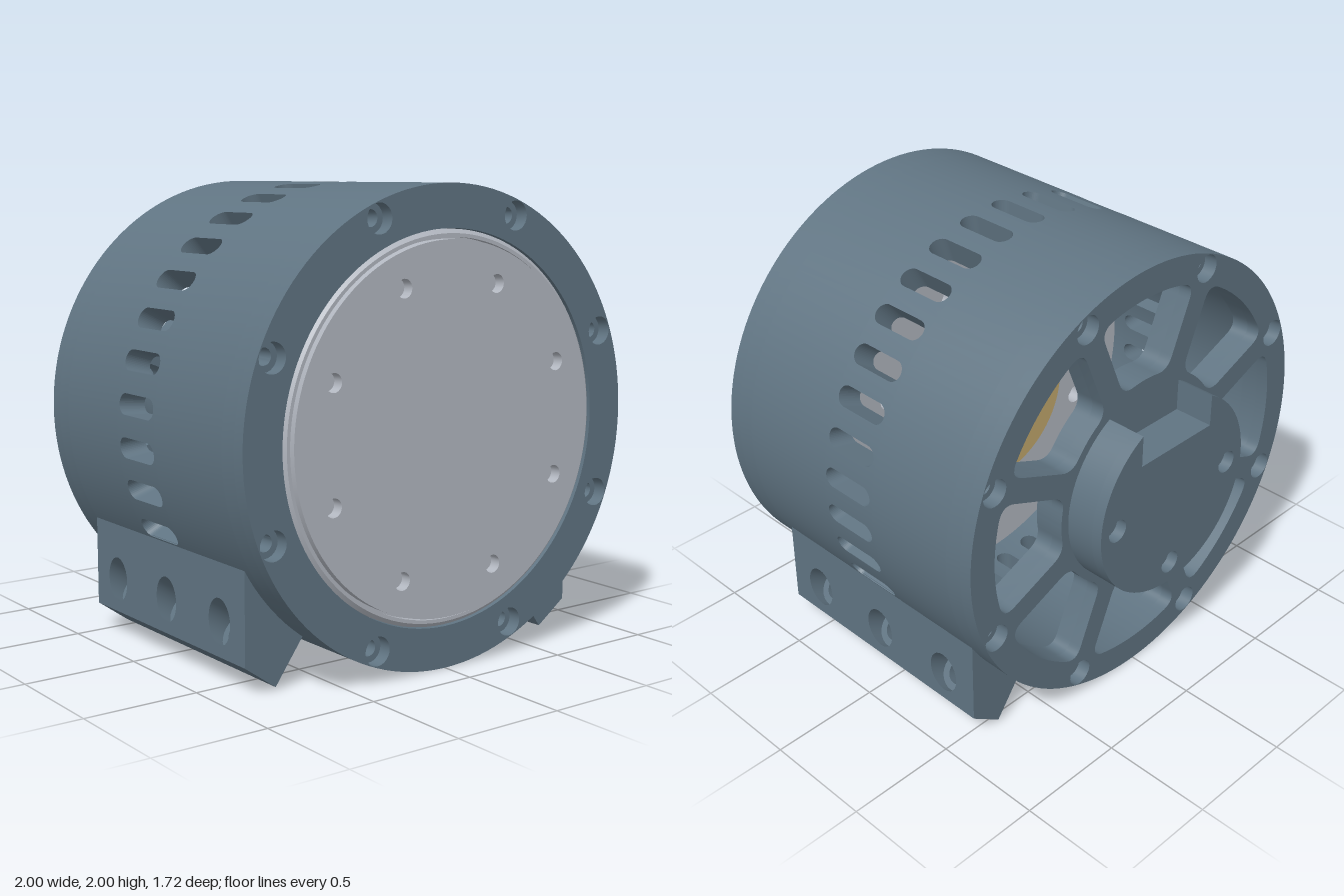
import * as THREE from 'three';
import { toCreasedNormals, mergeGeometries } from 'three/addons/utils/BufferGeometryUtils.js';

const SLOTS = 34, SEG = SLOTS * 4;
const BOLT_R = 0.935, CAP_BOLT_R = 0.638;

const steel = new THREE.MeshStandardMaterial({ color: 0x607482 });
steel.name = 'blue grey housing';
const silver = new THREE.MeshStandardMaterial({ color: 0xb2b7c0 });
silver.name = 'light grey metal';
const brass = new THREE.MeshStandardMaterial({ color: 0xc2a86c });
brass.name = 'tan disc';

const polar = (r, a) => new THREE.Vector2(r * Math.cos(a), r * Math.sin(a));

function circle(x, y, r, n = 24) {
  return Array.from({ length: n }, (_, i) => polar(r, (i / n) * Math.PI * 2).add(new THREE.Vector2(x, y)));
}

// n round holes on a bolt circle
function boltCircle(n, ringR, r, start = 0) {
  return Array.from({ length: n }, (_, i) => {
    const c = polar(ringR, start + (i / n) * Math.PI * 2);
    return circle(c.x, c.y, r);
  });
}

// flat plate with holes between two z levels
function plate(outline, holes, z0, z1) {
  const shape = new THREE.Shape(outline);
  shape.holes = holes.map((pts) => new THREE.Path(pts));
  const geo = new THREE.ExtrudeGeometry(shape, { depth: z1 - z0, bevelEnabled: false });
  return geo.translate(0, 0, z0);
}

// solid of revolution around z from [radius, z] points
function turned(profile) {
  const geo = new THREE.LatheGeometry(profile.map(([r, z]) => new THREE.Vector2(r, z)), SEG);
  return toCreasedNormals(geo.rotateX(Math.PI / 2), 0.5);
}

const tube = (ri, ro, z0, z1) => turned([[ro, z0], [ro, z1], [ri, z1], [ri, z0], [ro, z0]]);

// one slotted panel, bent round the z axis
function slottedPanel(centerAngle) {
  const w = Math.PI / SLOTS, z0 = -0.1, z1 = 0.2, inner = 0.88;
  const outline = [];
  for (let i = 0; i <= 4; i++) outline.push(new THREE.Vector2(-w + (i * w) / 2, z0));
  for (let i = 4; i >= 0; i--) outline.push(new THREE.Vector2(-w + (i * w) / 2, z1));
  const slot = new THREE.Path();
  slot.absarc(0, 0.145, 0.045, 0, Math.PI);
  slot.absarc(0, -0.04, 0.045, Math.PI, Math.PI * 2);
  const geo = plate(outline, [slot.getPoints(10)], 0, 1 - inner);
  const p = geo.attributes.position, n = geo.attributes.normal;
  for (let i = 0; i < p.count; i++) {
    const a = centerAngle + p.getX(i), c = Math.cos(a), s = Math.sin(a), r = inner + p.getZ(i);
    const [nx, ny, nz] = [n.getX(i), n.getY(i), n.getZ(i)];
    p.setXYZ(i, r * c, r * s, p.getY(i));
    n.setXYZ(i, nz * c - nx * s, nz * s + nx * c, ny);
  }
  return geo;
}

// rounded opening between two spokes of the rear wall
function spokeWindow(mid) {
  const ro = 0.87, ri = 0.49, half = 0.055, round = 0.07;
  const ao = Math.PI / 8 - Math.asin(half / ro), ai = Math.PI / 8 - Math.asin(half / ri);
  const so = round / ro, si = round / ri;
  const along = (side, t) => polar(ro, mid + side * ao).lerp(polar(ri, mid + side * ai), t);
  const path = new THREE.Path();
  const corner = (c, e) => path.quadraticCurveTo(c.x, c.y, e.x, e.y);
  const line = (e) => path.lineTo(e.x, e.y);
  path.absarc(0, 0, ro, mid - ao + so, mid + ao - so);
  corner(along(1, 0), along(1, 0.18));
  line(along(1, 0.82));
  corner(along(1, 1), polar(ri, mid + ai - si));
  path.absarc(0, 0, ri, mid + ai - si, mid - ai + si, true);
  corner(along(-1, 1), along(-1, 0.82));
  line(along(-1, 0.18));
  corner(along(-1, 0), polar(ro, mid - ao + so));
  const pts = path.getPoints(8);
  pts.pop();
  return pts;
}

// wedge-shaped foot, layered along the slanted axis of its mounting screws
function footGeometry() {
  const a = THREE.MathUtils.degToRad(35.5), ca = Math.cos(a), sa = Math.sin(a);
  const height = 0.33, halfLen = 0.5975, floor = 0.16;
  const outline = [[0, -halfLen], [height, -halfLen], [height, halfLen], [0, halfLen]]
    .map(([x, y]) => new THREE.Vector2(x, y));
  const holes = (r) => [-0.4125, 0, 0.4125].map((z) => circle(0.12, z, r));
  const base = plate(outline, holes(0.048), 0, floor);
  const top = plate(outline, holes(0.08), floor, floor + 0.1);
  // trim the outer end to an upright face
  const p = top.attributes.position;
  for (let i = 0; i < p.count; i++) {
    if (p.getZ(i) > floor + 0.05) p.setZ(i, (0.145 + sa * p.getX(i)) / ca);
  }
  const geo = mergeGeometries([base, top]);
  geo.applyMatrix4(new THREE.Matrix4().makeBasis(
    new THREE.Vector3(-sa, ca, 0), new THREE.Vector3(0, 0, 1), new THREE.Vector3(ca, sa, 0)));
  geo.translate(0.725, -0.99, 0);
  return toCreasedNormals(geo, 0.5);
}

export function createModel() {
  const model = new THREE.Group();
  model.name = 'ventedDrumHousing';
  const body = new THREE.Group();
  body.name = 'body';
  body.position.y = 1;
  model.add(body);
  const add = (name, geo, mat) => {
    const mesh = new THREE.Mesh(geo, mat);
    mesh.name = name;
    body.add(mesh);
    return mesh;
  };
  const smooth = (geo) => toCreasedNormals(geo, 0.5);
  const rim = circle(0, 0, 1, SEG);
  const bolts = (r) => boltCircle(8, BOLT_R, r, Math.PI / 8);

  // outer shell with a belt of cooling slots
  add('rearShell', tube(0.88, 1, -0.54, -0.1), steel);
  add('frontShell', tube(0.88, 1, 0.2, 0.7), steel);
  const panels = [];
  for (let i = 0; i < SLOTS; i++) panels.push(slottedPanel(Math.PI / 2 + (i / SLOTS) * Math.PI * 2));
  add('slottedBelt', mergeGeometries(panels), steel);

  // front ring with counterbored screw holes
  const bore = circle(0, 0, 0.82, SEG);
  add('frontRing', smooth(plate(rim, [bore, ...bolts(0.062)], 0.785, 0.845)), steel);
  add('frontRingSeat', smooth(plate(rim, [bore, ...bolts(0.035)], 0.7, 0.785)), steel);

  // spoked rear wall
  const windows = Array.from({ length: 8 }, (_, i) => spokeWindow((i * Math.PI) / 4));
  add('rearWall', smooth(plate(rim, [...windows, ...bolts(0.062)], -0.68, -0.62)), steel);
  add('rearWallSeat', smooth(plate(rim, [...windows, ...bolts(0.035)], -0.62, -0.54)), steel);

  // notched rear hub with three screw holes
  const notch = Math.acos(0.215 / 0.45);
  const hub = [new THREE.Vector2(-0.215, 0.25), new THREE.Vector2(0.215, 0.25)];
  for (let i = 0; i <= 80; i++) {
    hub.push(polar(0.45, notch - (i / 80) * (Math.PI + 2 * notch)));
  }
  const hubHoles = (r) => [[0.35, 0], [-0.35, 0], [0, -0.35]].map(([x, y]) => circle(x, y, r));
  add('hubFace', smooth(plate(hub, hubHoles(0.052), -0.86, -0.81)), steel);
  add('hubBase', smooth(plate(hub, hubHoles(0.03), -0.81, -0.68)), steel);

  // inner drum, its rear face and the front cover
  const capBolts = (r) => boltCircle(8, CAP_BOLT_R, r, Math.PI / 8);
  add('drum', turned([[0, 0.31], [0.87, 0.31], [0.87, 0.69], [0.817, 0.69], [0.817, 0.83],
    [0.8, 0.845], [0.785, 0.845], [0.785, 0.81], [0, 0.81]]), silver);
  add('drumRearFace', smooth(plate(circle(0, 0, 0.87, SEG), capBolts(0.045), 0.25, 0.31)), silver);
  add('frontCover', smooth(plate(circle(0, 0, 0.777, SEG), capBolts(0.039), 0.81, 0.86)), silver);

  // tan disc inside the drum
  const discHoles = [circle(0, 0, 0.035), ...boltCircle(4, 0.3, 0.025)];
  add('innerDisc', smooth(plate(circle(0, 0, 0.38, 72), discHoles, 0.155, 0.25)), brass);

  // pair of mounting feet
  const foot = footGeometry();
  for (const [name, turn] of [['leftFoot', 0], ['rightFoot', Math.PI]]) {
    const mesh = add(name, foot, steel);
    mesh.position.z = 0.0575;
    mesh.rotation.y = turn;
  }
  return model;
}
